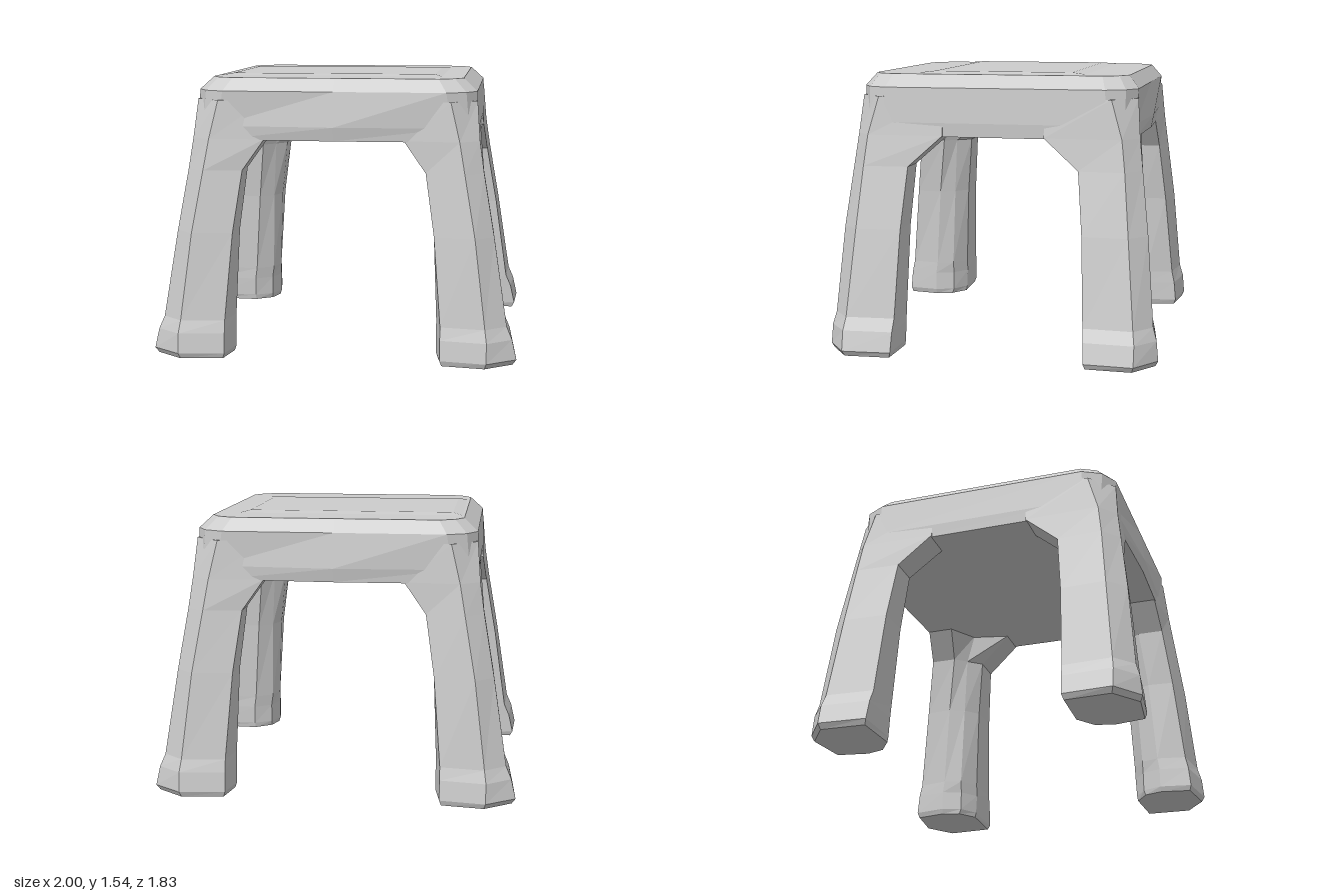
import * as THREE from 'three';

const plastic = new THREE.MeshStandardMaterial({ color: 0xcccccc });
plastic.name = 'greyPlastic';

// Faceted solid through rings of [x, y, z] points, ordered front -> +x -> back -> -x, bottom to top
function loft(name, rings) {
  const pos = [];
  const tri = (a, b, c) => pos.push(...a, ...b, ...c);
  const n = rings[0].length;
  for (let r = 0; r + 1 < rings.length; r++) {
    const lo = rings[r], hi = rings[r + 1];
    for (let i = 0; i < n; i++) {
      const j = (i + 1) % n;
      tri(lo[i], lo[j], hi[j]);
      tri(lo[i], hi[j], hi[i]);
    }
  }
  const bottom = rings[0], top = rings[rings.length - 1];
  for (let i = 1; i + 1 < n; i++) {
    tri(bottom[0], bottom[i + 1], bottom[i]);
    tri(top[0], top[i], top[i + 1]);
  }
  const geo = new THREE.BufferGeometry();
  geo.setAttribute('position', new THREE.Float32BufferAttribute(pos, 3));
  geo.computeVertexNormals();
  const mesh = new THREE.Mesh(geo, plastic);
  mesh.name = name;
  return mesh;
}

// Square ring with cut corners; front and back edges bow out by b at the middle
function seatRing(y, hx, hz, c, b = 0) {
  return [
    [0, y, hz + b], [hx - c, y, hz], [hx - c * 0.35, y, hz - c * 0.35], [hx, y, hz - c],
    [hx, y, c - hz], [hx - c * 0.35, y, c * 0.35 - hz], [hx - c, y, -hz],
    [0, y, -hz - b], [c - hx, y, -hz], [c * 0.35 - hx, y, c * 0.35 - hz], [-hx, y, c - hz],
    [-hx, y, hz - c], [c * 0.35 - hx, y, hz - c * 0.35], [c - hx, y, hz],
  ];
}

// Leg sections: height, then x,z of front end, two outer corners, side end, three inner corners
const legSections = [
  [0.01, [0.60, 0.87], [0.83, 0.90], [0.98, 0.79], [0.97, 0.54], [0.70, 0.53], [0.60, 0.60], [0.57, 0.70]],
  [0.04, [0.59, 0.88], [0.84, 0.915], [1.0, 0.80], [0.985, 0.53], [0.70, 0.525], [0.60, 0.59], [0.56, 0.70]],
  [0.15, [0.59, 0.87], [0.84, 0.905], [0.975, 0.80], [0.96, 0.525], [0.70, 0.52], [0.60, 0.59], [0.56, 0.70]],
  [0.22, [0.59, 0.855], [0.83, 0.885], [0.945, 0.79], [0.93, 0.52], [0.69, 0.52], [0.59, 0.59], [0.56, 0.69]],
  [0.70, [0.55, 0.81], [0.77, 0.845], [0.87, 0.75], [0.86, 0.50], [0.66, 0.50], [0.58, 0.57], [0.54, 0.66]],
  [1.04, [0.50, 0.77], [0.71, 0.805], [0.81, 0.72], [0.80, 0.47], [0.63, 0.47], [0.56, 0.55], [0.50, 0.62]],
  [1.21, [0.38, 0.755], [0.68, 0.785], [0.785, 0.70], [0.78, 0.28], [0.60, 0.28], [0.55, 0.50], [0.38, 0.60]],
  [1.42, [0.38, 0.74], [0.63, 0.768], [0.768, 0.64], [0.755, 0.28], [0.60, 0.28], [0.55, 0.50], [0.38, 0.60]],
];

function leg(name, sx, sz) {
  return loft(name, legSections.map(([y, ...pts]) => {
    const ring = pts.map(([x, z]) => [x * sx, y, z * sz]);
    return sx * sz < 0 ? ring.reverse() : ring;
  }));
}

export function createModel() {
  const stool = new THREE.Group();
  stool.name = 'stool';

  // Seat slab with bevelled rim
  stool.add(loft('seat', [
    seatRing(1.205, 0.77, 0.75, 0.14, 0.02),
    seatRing(1.28, 0.775, 0.755, 0.14, 0.03),
    seatRing(1.47, 0.765, 0.765, 0.16),
    seatRing(1.54, 0.69, 0.71, 0.13),
  ]));

  // Shallow raised sitting area
  const panel = (y, x0, x1, z) => [[x0, y, z], [x1, y, z], [x1, y, -z], [x0, y, -z]];
  stool.add(loft('sittingPanel', [panel(1.539, -0.68, 0.57, 0.48), panel(1.548, -0.62, 0.52, 0.39)]));

  // Splayed legs, flaring into the seat as arches
  for (const [side, sx] of [['Left', 1], ['Right', -1]]) {
    stool.add(leg('front' + side + 'Leg', sx, 1), leg('back' + side + 'Leg', sx, -1));
  }
  return stool;
}
